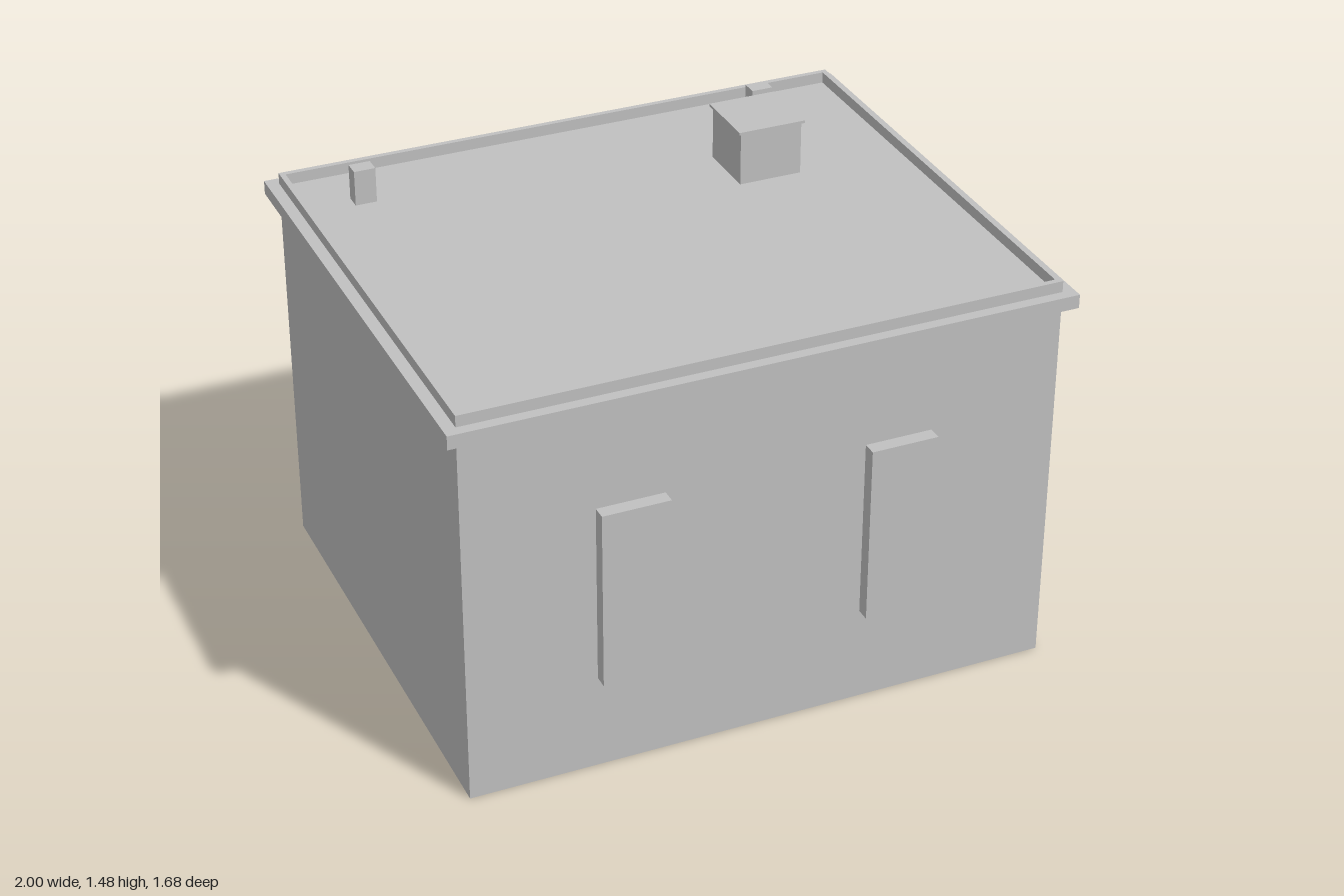
import * as THREE from 'three';

const ZC = -0.005; // centre of the building in z (the front panels stick out past the cornice)
const HX = 0.961, HZ = 0.802; // half width and half depth of the walls
const ROOF = 1.298;

const grey = new THREE.MeshStandardMaterial({ color: 0xc0c0c0, side: THREE.DoubleSide });
grey.name = 'plain grey';

function add(parent, name, geometry, x = 0, y = 0, z = 0) {
  const mesh = new THREE.Mesh(geometry, grey);
  mesh.name = name;
  mesh.position.set(x, y, z);
  parent.add(mesh);
  return mesh;
}

// Box given by its centre in x and z and its bottom and top in y
function block(parent, name, w, d, y0, y1, x, z) {
  return add(parent, name, new THREE.BoxGeometry(w, y1 - y0, d), x, (y0 + y1) / 2, z);
}

function rectangle(target, hx, hz) {
  target.moveTo(-hx, -hz).lineTo(hx, -hz).lineTo(hx, hz).lineTo(-hx, hz).closePath();
  return target;
}

export function createModel() {
  const model = new THREE.Group();
  model.name = 'flatRoofBuilding';

  // Four thin walls, open underneath
  const walls = new THREE.Group();
  walls.name = 'walls';
  model.add(walls);
  const wallTop = 1.253;
  ['frontWall', 'leftWall', 'backWall', 'rightWall'].forEach((name, i) => {
    const side = i % 2 === 1;
    const angle = i * Math.PI / 2;
    const reach = side ? HX : HZ;
    const wall = add(walls, name, new THREE.PlaneGeometry(2 * (side ? HZ : HX), wallTop),
      Math.sin(angle) * reach, wallTop / 2, ZC + Math.cos(angle) * reach);
    wall.rotation.y = angle;
  });

  // Cornice slab, whose top is the roof deck
  block(model, 'corniceAndDeck', 2, 1.675, wallTop, ROOF, 0, ZC);

  // Parapet rim around the deck
  const rim = rectangle(new THREE.Shape(), HX, HZ);
  rim.holes.push(rectangle(new THREE.Path(), HX - 0.018, HZ - 0.018));
  const rimGeometry = new THREE.ExtrudeGeometry(rim, { depth: 1.335 - ROOF, bevelEnabled: false });
  rimGeometry.rotateX(-Math.PI / 2);
  add(model, 'parapet', rimGeometry, 0, ROOF, ZC);

  // Raised window panels on the front
  for (const [name, x] of [['rightWindow', -0.436], ['leftWindow', 0.431]]) {
    block(model, name, 0.219, 0.0455, 0.322, 0.921, x, 0.81975);
  }

  // Roof hatch with an overhanging lid
  const hatch = new THREE.Group();
  hatch.name = 'roofHatch';
  model.add(hatch);
  block(hatch, 'hatchBody', 0.21, 0.212, ROOF, 1.475, 0.48, -0.325);
  block(hatch, 'hatchLid', 0.228, 0.23, 1.475, 1.484, 0.48, -0.325);

  // Small roof vents
  block(model, 'rightVent', 0.07, 0.053, ROOF, 1.415, -0.752, -0.594);
  block(model, 'leftVent', 0.072, 0.052, ROOF, 1.404, 0.639, -0.647);

  return model;
}
